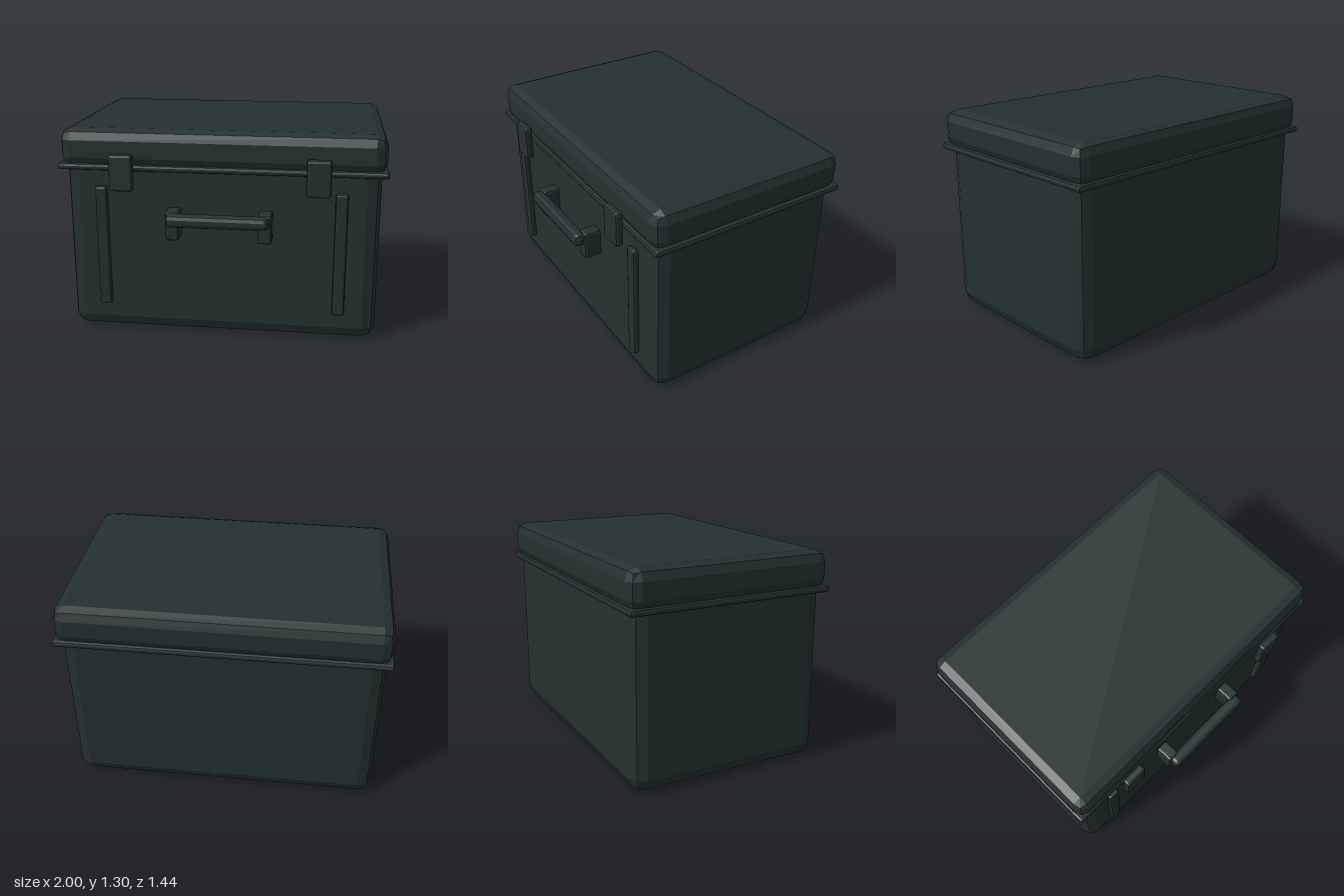
import * as THREE from 'three';
import { RoundedBoxGeometry } from 'three/addons/geometries/RoundedBoxGeometry.js';

const casing = new THREE.MeshStandardMaterial({ color: 0x243130, flatShading: true });
casing.name = 'dark green casing';

// Box with two-facet bevels, given by its [min, max] extent on each axis
function bevelBox(name, [x0, x1], [y0, y1], [z0, z1], bevel) {
  const geometry = new RoundedBoxGeometry(x1 - x0, y1 - y0, z1 - z0, 1, bevel);
  const mesh = new THREE.Mesh(geometry, casing);
  mesh.name = name;
  mesh.position.set((x0 + x1) / 2, (y0 + y1) / 2, (z0 + z1) / 2);
  return mesh;
}

export function createModel() {
  const model = new THREE.Group();
  model.name = 'storageCase';

  // Main shell: body, rim seal and lid
  model.add(
    bevelBox('body', [-0.965, 0.965], [0, 1.16], [-0.69, 0.555], 0.085),
    bevelBox('rim', [-1, 1], [1.052, 1.092], [-0.722, 0.585], 0.015),
    bevelBox('lid', [-0.99, 0.99], [1.06, 1.305], [-0.715, 0.58], 0.07),
  );

  // Front fittings, mirrored left and right
  for (const [side, s] of [['left', 1], ['right', -1]]) {
    const span = (a, b) => (s > 0 ? [a, b] : [-b, -a]);
    model.add(
      bevelBox(side + 'Latch', span(0.52, 0.667), [0.938, 1.165], [0.588, 0.64], 0.016),
      bevelBox(side + 'Rib', span(0.695, 0.77), [0.178, 0.955], [0.548, 0.592], 0.015),
      bevelBox(side + 'HandleBracket', span(0.24, 0.322), [0.648, 0.83], [0.545, 0.665], 0.015),
    );
  }

  // Handle grip
  model.add(bevelBox('handleGrip', [-0.312, 0.308], [0.745, 0.825], [0.64, 0.722], 0.028));

  return model;
}
